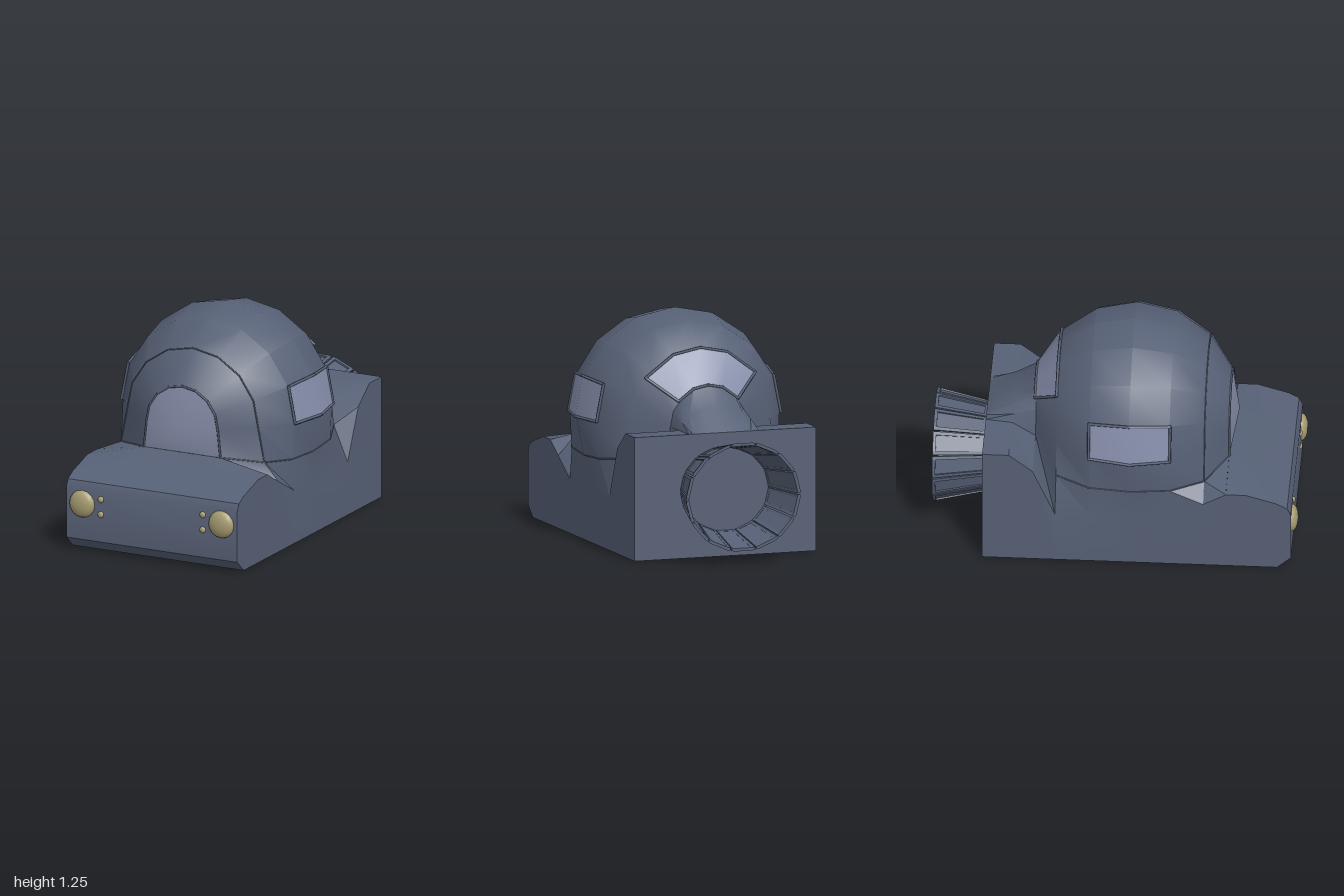
import * as THREE from 'three';
import { mergeGeometries, toCreasedNormals } from 'three/addons/utils/BufferGeometryUtils.js';

const RAD = Math.PI / 180;
const R = 0.57, CY = 0.68, CZ = 0.085; // dome sphere, poles along z
const HALF = 0.525;

const hull = new THREE.MeshStandardMaterial({ color: 0x566075 });
hull.name = 'hull slate';
const glass = new THREE.MeshStandardMaterial({ color: 0x868eaa });
glass.name = 'window glass';
glass.side = THREE.DoubleSide;
const lamp = new THREE.MeshStandardMaterial({ color: 0xa89e72 });
lamp.name = 'lamp tan';

const V = (x, y, z) => new THREE.Vector3(x, y, z);

// Point on the dome: t = degrees from the front pole, a = degrees around it
function domePoint(t, a, k = 1) {
  const r = R * k * Math.sin(t * RAD);
  return V(r * Math.cos(a * RAD), CY + r * Math.sin(a * RAD), CZ + R * k * Math.cos(t * RAD));
}

// Cross-section at z: floor, wall top, rim, then a half ellipse, mirrored
function section(z, lo, wall, rim, cy, rx, ry) {
  const half = [V(HALF, lo, z), V(HALF, wall, z), V(rim[0], rim[1], z)];
  for (let a = 0; a < 90; a += 22.5) {
    half.push(V(rx * Math.cos(a * RAD), cy + ry * Math.sin(a * RAD), z));
  }
  const mirrored = half.map((p) => V(-p.x, p.y, p.z)).reverse();
  return [...half, V(0, cy + ry, z), ...mirrored];
}

function fromTriangles(tris, crease = 0.5) {
  const g = new THREE.BufferGeometry().setFromPoints(tris);
  g.computeVertexNormals();
  return toCreasedNormals(g, crease);
}

// Skin the sections from front to back, optionally closing the ends
function loft(sections, capFront, capBack) {
  const tris = [];
  const n = sections[0].length;
  for (let i = 0; i < sections.length - 1; i++) {
    for (let j = 0; j < n; j++) {
      const k = (j + 1) % n;
      const a = sections[i][j], b = sections[i][k];
      const c = sections[i + 1][k], d = sections[i + 1][j];
      tris.push(a, d, b, d, c, b);
    }
  }
  const f = sections[0], e = sections[sections.length - 1];
  for (let j = 1; j < n - 1; j++) {
    if (capFront) tris.push(f[0], f[j], f[j + 1]);
    if (capBack) tris.push(e[0], e[j + 1], e[j]);
  }
  return fromTriangles(tris);
}

// Thin round moulding along a polyline
function moulding(points, radius = 0.006) {
  const bars = [];
  for (let i = 0; i < points.length - 1; i++) {
    const dir = points[i + 1].clone().sub(points[i]);
    const g = new THREE.CylinderGeometry(radius, radius, dir.length() + radius, 6);
    g.applyQuaternion(new THREE.Quaternion().setFromUnitVectors(V(0, 1, 0), dir.normalize()));
    const mid = points[i].clone().add(points[i + 1]).multiplyScalar(0.5);
    bars.push(g.translate(mid.x, mid.y, mid.z));
  }
  return mergeGeometries(bars);
}

export function createModel() {
  const model = new THREE.Group();
  const add = (name, geometry, material) => {
    const mesh = new THREE.Mesh(geometry, material);
    mesh.name = name;
    model.add(mesh);
    return mesh;
  };

  // Hood: [z, floor, edge height, centre height]
  const hood = [
    [0.965, 0.065, 0.35, 0.35], [0.945, 0.048, 0.39, 0.39], [0.89, 0, 0.42, 0.42],
    [0.72, 0, 0.47, 0.485], [0.612, 0, 0.47, 0.525],
  ].map(([z, lo, edge, c]) => section(z, lo, edge, [0.235, c], c, 0.218, 0));
  add('hood', loft(hood, true, false), hull);

  // Dome flaring into the side walls: [degrees from front pole, wall top, rim x, rim y]
  const domeRings = [
    [22.5, 0.47, 0.235, 0.525], [45, 0.40, 0.44, 0.495], [67.5, 0.30, 0.515, 0.475],
    [90, 0.30, 0.525, 0.465], [112.5, 0.30, 0.515, 0.475], [135, 0.30, 0.44, 0.50],
    [157.5, 0.58, 0.23, 0.61],
  ];
  const sections = domeRings.map(([t, wall, rx, ry]) => {
    const r = R * Math.sin(t * RAD);
    return section(CZ + R * Math.cos(t * RAD), 0, wall, [rx, ry], CY, r, r);
  });
  // Tapering neck and rear shoulders
  sections.push(section(-0.57, 0, 0.68, [0.22, 0.68], 0.68, 0.215, 0.115));
  sections.push(section(-0.715, 0, 0.68, [0.22, 0.68], 0.68, 0.21, 0));
  add('cabinDome', loft(sections, false, true), hull);

  // Front arched window, faceted out to the front pole
  const arch = sections[0].slice(2, -2);
  const pole = V(0, CY, CZ + R);
  const front = [];
  for (let i = 0; i < arch.length; i++) front.push(pole, arch[i], arch[(i + 1) % arch.length]);
  add('frontWindow', fromTriangles(front), glass);
  add('frontWindowFrame', moulding(arch), hull);
  add('domeSeam', moulding(sections[1].slice(2, -2), 0.004), hull);
  for (const side of [1, -1]) {
    const rim = domeRings.slice(0, 6).map(([t, , x, y]) => V(side * x, y, CZ + R * Math.cos(t * RAD)));
    add('domeRimSeam', moulding(rim, 0.004), hull);
  }

  // Raised windows following the dome
  function domeWindow(name, ts, angles) {
    const k = 1.012, tris = [];
    for (let i = 0; i < ts.length - 1; i++) {
      for (let j = 0; j < angles.length - 1; j++) {
        const a = domePoint(ts[i], angles[j], k), b = domePoint(ts[i], angles[j + 1], k);
        const c = domePoint(ts[i + 1], angles[j + 1], k), d = domePoint(ts[i + 1], angles[j], k);
        tris.push(a, d, b, d, c, b);
      }
    }
    add(name, fromTriangles(tris), glass);
    const last = angles[angles.length - 1], end = ts[ts.length - 1];
    const border = [
      ...angles.map((a) => domePoint(ts[0], a, k)),
      ...ts.slice(1).map((t) => domePoint(t, last, k)),
      ...angles.slice(0, -1).reverse().map((a) => domePoint(end, a, k)),
      ...ts.slice(0, -1).reverse().map((t) => domePoint(t, angles[0], k)),
    ];
    add(name + 'Frame', moulding(border, 0.008), hull);
  }
  domeWindow('leftWindow', [67.5, 90, 112.5], [0, 22.5]);
  domeWindow('rightWindow', [67.5, 90, 112.5], [157.5, 180]);
  domeWindow('rearWindow', [135, 157.5], [39, 67.5, 90, 112.5, 141]);

  // Flared exhaust nozzle made of separate framed petals
  const COUNT = 14, STEP = (2 * Math.PI) / COUNT;
  function petalPiece(mid, u0, u1, v0, v1, inner, outer) {
    const g = new THREE.BoxGeometry(1, 1, 1);
    const p = g.attributes.position;
    for (let i = 0; i < p.count; i++) {
      const angle = mid - (p.getX(i) < 0 ? u0 : u1) * STEP;
      const k = p.getY(i) < 0 ? inner : outer;
      const v = p.getZ(i) < 0 ? v1 : v0; // v runs from the hull to the open end
      p.setXYZ(i, Math.cos(angle) * k * (0.26 + 0.07 * v),
        0.367 + Math.sin(angle) * k * (0.24 + 0.06 * v), -0.715 - 0.285 * v);
    }
    g.computeVertexNormals();
    return g;
  }
  const petals = [];
  for (let i = 0; i < COUNT; i++) {
    const mid = Math.PI / 2 + i * STEP;
    petals.push(
      petalPiece(mid, -0.4, 0.4, 0, 1, 0.955, 0.975),
      petalPiece(mid, -0.47, -0.33, 0, 1, 0.945, 1),
      petalPiece(mid, 0.33, 0.47, 0, 1, 0.945, 1),
      petalPiece(mid, -0.33, 0.33, 0, 0.06, 0.945, 1),
      petalPiece(mid, -0.33, 0.33, 0.94, 1, 0.945, 1),
    );
  }
  add('exhaustNozzle', mergeGeometries(petals), hull);

  // Headlamps and small marker lamps
  function lampDome(name, x, y, r, depth) {
    const g = new THREE.SphereGeometry(r, 16, 4, 0, Math.PI * 2, 0, Math.PI / 2);
    g.rotateX(Math.PI / 2).scale(1, 1, depth / r);
    add(name, g, lamp).position.set(x, y, 0.965);
  }
  for (const side of [1, -1]) {
    lampDome('headlamp', side * 0.427, 0.266, 0.077, 0.035);
    for (const y of [0.305, 0.22]) lampDome('markerLamp', side * 0.313, y, 0.018, 0.012);
  }
  return model;
}
